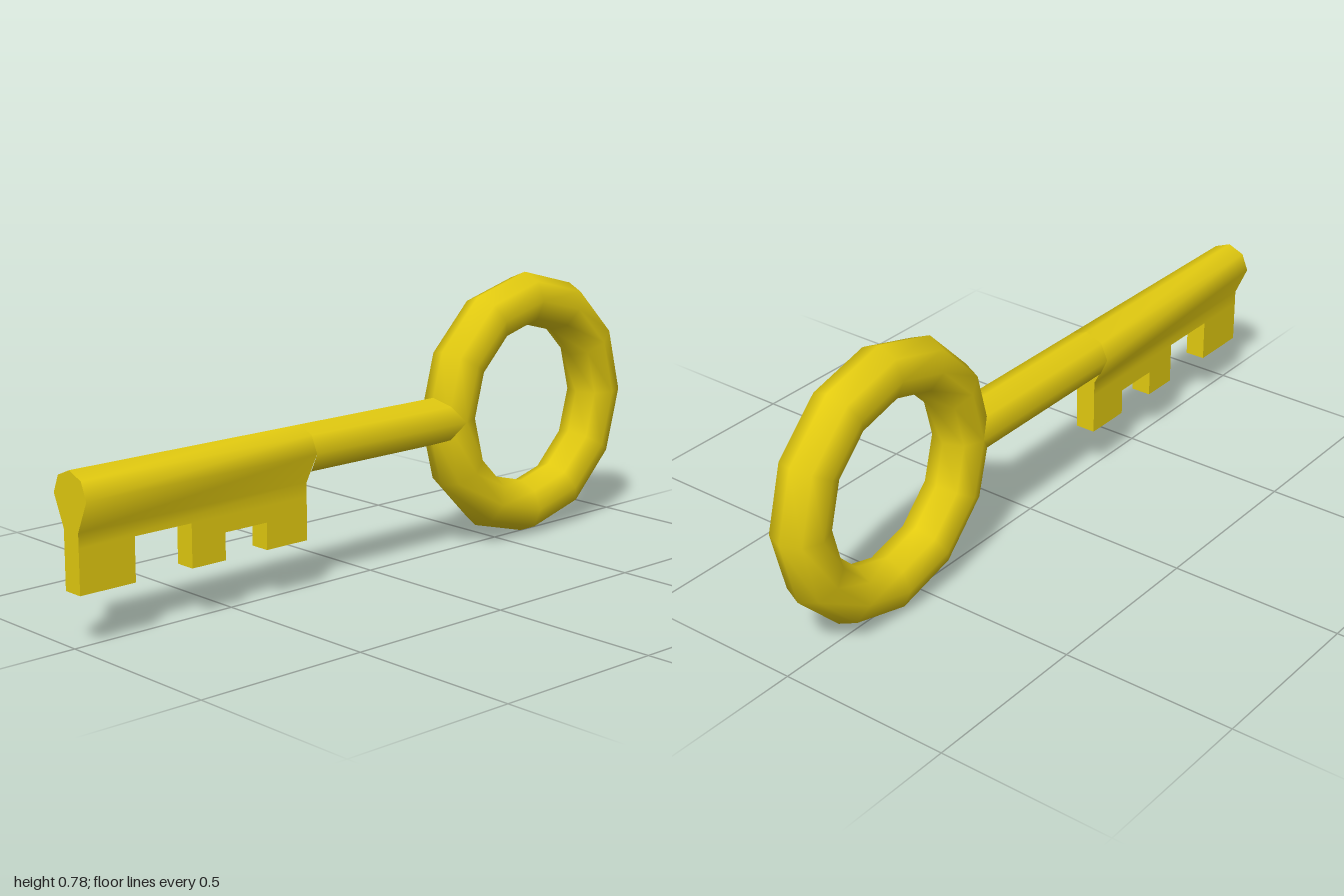
import * as THREE from 'three';
import { toCreasedNormals } from 'three/addons/utils/BufferGeometryUtils.js';

const AXIS_Y = 0.39;      // height of the shaft and of the ring centre
const SHAFT_R = 0.068;
const BLADE_HALF = 0.03;
const BIT_BACK = 0.26;    // z where the bladed part of the shaft begins
const NOTCH_Y = 0.265;    // underside of the deepest notch

// Widen the upper part of the shaft slightly towards the ring
function taper(geometry) {
  const p = geometry.attributes.position;
  for (let i = 0; i < p.count; i++) {
    if (p.getY(i) > 0.31) p.setX(i, p.getX(i) * (1 + 0.1 * (1 - p.getZ(i))));
  }
  return geometry;
}

const outline = (points) => new THREE.Shape(points.map(([x, y]) => new THREE.Vector2(x, y)));

export function createModel() {
  const group = new THREE.Group();
  group.name = 'key';
  const material = new THREE.MeshStandardMaterial({ color: 0xe3cb10 });
  const add = (name, geometry) => {
    const mesh = new THREE.Mesh(geometry, material);
    mesh.name = name;
    group.add(mesh);
  };

  // Twelve-sided ring handle
  const ring = new THREE.TorusGeometry(0.311, 0.077, 8, 12);
  ring.rotateY(Math.PI / 2).translate(0, AXIS_Y, -0.612);
  add('ringHandle', ring);

  // Plain round shaft, sunk into the ring
  const back = -0.3;
  const shaft = new THREE.CylinderGeometry(SHAFT_R, SHAFT_R, BIT_BACK - back, 8, 1, true);
  shaft.rotateX(Math.PI / 2).translate(0, AXIS_Y, (BIT_BACK + back) / 2);
  add('shaft', taper(shaft));

  // Front of the shaft, narrowing down into the blade
  const section = [[-BLADE_HALF, 0.305], [-BLADE_HALF, NOTCH_Y], [BLADE_HALF, NOTCH_Y], [BLADE_HALF, 0.305]];
  for (let i = 0; i <= 4; i++) {
    const a = (i * Math.PI) / 4;
    section.push([SHAFT_R * Math.cos(a), AXIS_Y + SHAFT_R * Math.sin(a)]);
  }
  const front = new THREE.ExtrudeGeometry(outline(section), { depth: 1 - BIT_BACK, bevelEnabled: false });
  front.translate(0, 0, BIT_BACK);
  add('bladedShaft', taper(toCreasedNormals(front, 1)));

  // Teeth, drawn as (z, y) side outlines
  const low = 0.145;
  const teeth = [
    outline([[0.83, NOTCH_Y], [0.83, low], [1, low], [1, NOTCH_Y]]),
    outline([[BIT_BACK, NOTCH_Y], [BIT_BACK, low], [0.4, low], [0.4, 0.22],
      [0.54, 0.22], [0.54, low], [0.65, low], [0.65, NOTCH_Y]]),
  ];
  const bit = new THREE.ExtrudeGeometry(teeth, { depth: 2 * BLADE_HALF, bevelEnabled: false });
  bit.rotateY(-Math.PI / 2).translate(BLADE_HALF, 0, 0);
  add('teeth', bit);

  return group;
}
